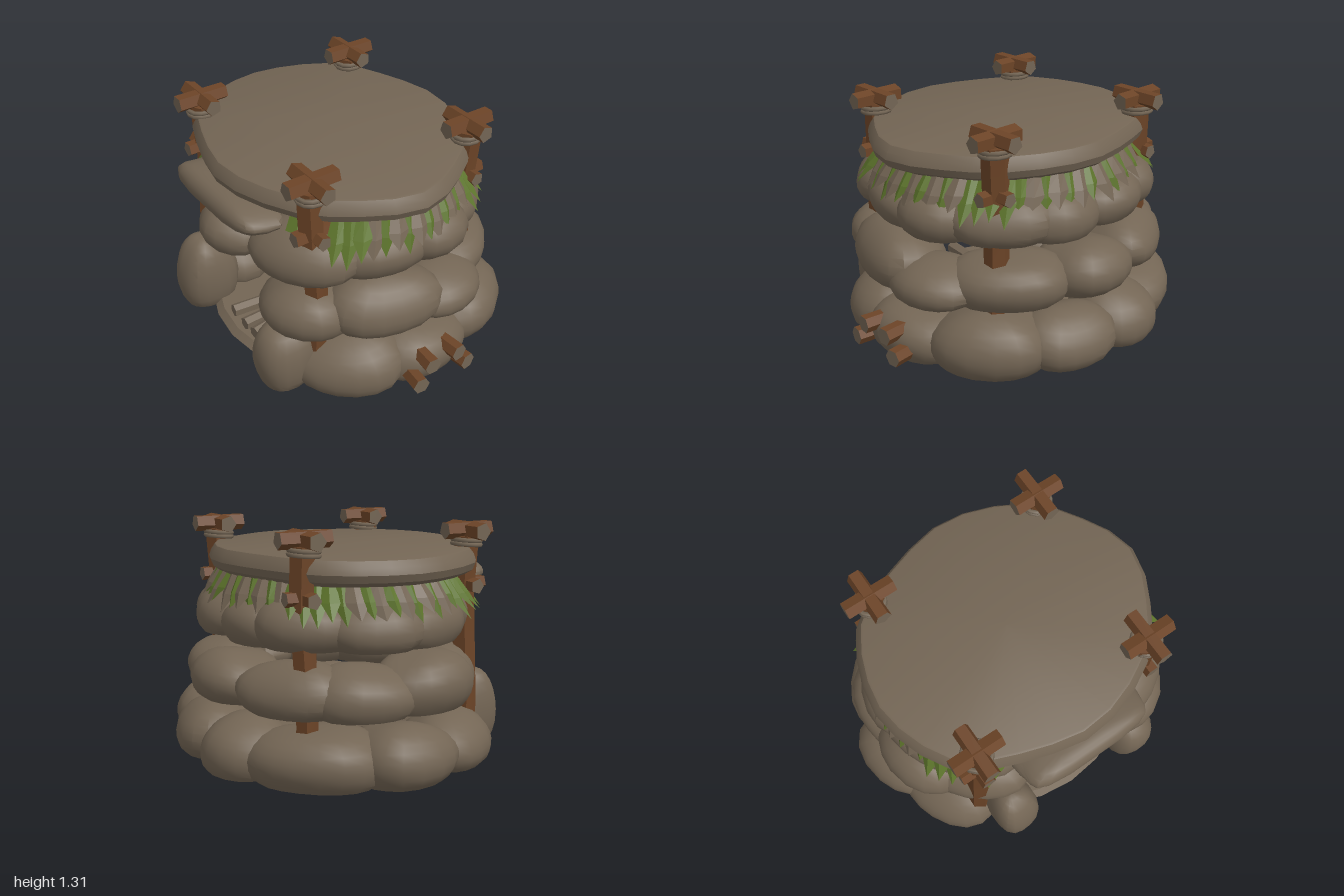
import * as THREE from 'three';
import { toCreasedNormals } from 'three/addons/utils/BufferGeometryUtils.js';

const stone = new THREE.MeshStandardMaterial({ color: 0x736554 });
stone.name = 'stone';
const wood = new THREE.MeshStandardMaterial({ color: 0x6c4427 });
wood.name = 'wood';
const leafGreen = new THREE.MeshStandardMaterial({ color: 0x5c732b, side: THREE.DoubleSide });
leafGreen.name = 'leafGreen';
const thatch = new THREE.MeshStandardMaterial({ color: 0x736554, side: THREE.DoubleSide });
thatch.name = 'thatch';

const rad = THREE.MathUtils.degToRad;

function add(parent, name, geometry, material, x = 0, y = 0, z = 0) {
  const mesh = new THREE.Mesh(geometry, material);
  mesh.name = name;
  mesh.position.set(x, y, z);
  parent.add(mesh);
  return mesh;
}

// Rounded rock with a flat base on y = 0; w and d are half sizes, h the full height
function boulder(w, h, d, seed, cut = 0.6, power = 0.92) {
  const g = new THREE.SphereGeometry(1, 18, 14);
  const p = g.attributes.position;
  const v = new THREE.Vector3();
  const boxy = (a) => Math.sign(a) * Math.pow(Math.abs(a), power);
  for (let i = 0; i < p.count; i++) {
    v.fromBufferAttribute(p, i);
    const bump = 1 + 0.045 * Math.sin(3 * v.x + seed * 2.1) + 0.04 * Math.sin(4 * v.z + 2 * v.y + seed);
    const y = Math.max(v.y, -cut);
    p.setXYZ(i, boxy(v.x) * w * bump, ((y + cut) / (1 + cut)) * h * (v.y > 0 ? bump : 1), boxy(v.z) * d * bump);
  }
  return toCreasedNormals(g, 0.6);
}

// Faceted log along its own y axis with pale cut ends
function log(parent, name, radius, length, sides, body = wood) {
  const source = new THREE.CylinderGeometry(radius, radius * 0.95, length, sides);
  const g = source.toNonIndexed();
  g.clearGroups();
  source.groups.forEach((s) => g.addGroup(s.start, s.count, s.materialIndex));
  return add(parent, name, toCreasedNormals(g, 0.3), [body, stone, stone]);
}

// Ring of boulders; each entry is [angle from front, half length, height, inward shift]
function stoneRing(name, y, rx, rz, zc, depth, list) {
  const ring = new THREE.Group();
  ring.name = name;
  list.forEach(([deg, half, height, inset = 0], i) => {
    const a = rad(deg);
    const m = add(ring, 'wallStone', boulder(half, height, depth, i * 1.7 + y * 9), stone,
      Math.sin(a) * (rx - inset), y, Math.cos(a) * (rz - inset) + zc);
    m.rotation.y = a;
  });
  return ring;
}

// Hanging blade with a folded centre line, pointing down and outward
function blade(width, drop, out, lean) {
  const w = width / 2;
  const g = new THREE.BufferGeometry();
  g.setAttribute('position', new THREE.Float32BufferAttribute([
    -w * 0.7, 0, 0, 0, 0, 0.02, w * 0.7, 0, 0,
    -w + lean * 0.4, -drop * 0.5, out * 0.45, lean * 0.4, -drop * 0.5, out * 0.45 + 0.025,
    w + lean * 0.4, -drop * 0.5, out * 0.45, lean, -drop, out,
  ], 3));
  g.setIndex([0, 3, 1, 1, 3, 4, 1, 4, 2, 2, 4, 5, 3, 6, 4, 4, 6, 5]);
  const flat = g.toNonIndexed();
  flat.computeVertexNormals();
  return flat;
}

// Corner post with crossed logs at the top, lashing and a smaller cross below
function cornerPost(x, z, i) {
  const post = new THREE.Group();
  post.name = 'cornerPost';
  post.position.set(x, 0, z);
  const g = new THREE.CylinderGeometry(0.073, 0.062, 1.23, 6, 4);
  const p = g.attributes.position;
  for (let k = 0; k < p.count; k++) {
    const bend = 0.015 * Math.sin(p.getY(k) * 5 + i * 2);
    p.setX(k, p.getX(k) + bend);
    p.setZ(k, p.getZ(k) - bend * 0.6);
  }
  add(post, 'postTrunk', toCreasedNormals(g, 0.3), wood, 0, 0.62, 0);
  for (const [name, y, r, len] of [['topCrossLog', 1.265, 0.05, 0.29], ['lowerCrossLog', 0.97, 0.043, 0.22]]) {
    const a = log(post, name, r, len, 5);
    a.rotation.z = Math.PI / 2;
    a.position.y = y;
    const b = log(post, name, r, len, 5);
    b.rotation.x = Math.PI / 2;
    b.position.y = y + 0.004;
  }
  for (const y of [1.19, 1.212]) {
    const rope = add(post, 'lashing', new THREE.TorusGeometry(0.077, 0.013, 6, 12), stone, 0, y, 0);
    rope.rotation.x = Math.PI / 2 + 0.08;
  }
  return post;
}

export function createModel() {
  const hut = new THREE.Group();
  hut.name = 'stoneHut';

  // Floor slab
  const floor = add(hut, 'floor', new THREE.CylinderGeometry(0.76, 0.8, 0.035, 24), stone, 0, 0.043, 0);
  floor.scale.z = 0.95;

  // Three courses of wall stones, open at the front
  hut.add(stoneRing('lowerWall', 0.01, 0.72, 0.63, 0, 0.25, [
    [54, 0.31, 0.3, -0.02], [91, 0.3, 0.29, 0.02], [130, 0.36, 0.32], [164, 0.27, 0.3],
    [196, 0.27, 0.29], [231, 0.36, 0.31], [274, 0.32, 0.3], [306, 0.29, 0.28, -0.02],
  ]));
  hut.add(stoneRing('middleWall', 0.365, 0.69, 0.59, 0.02, 0.23, [
    [37, 0.28, 0.26, -0.06], [72, 0.32, 0.31], [106, 0.27, 0.2, -0.02], [140, 0.31, 0.27], [180, 0.29, 0.26],
    [218, 0.31, 0.27], [252, 0.29, 0.26], [287, 0.32, 0.31], [319, 0.29, 0.29, 0.04],
  ]));
  hut.add(stoneRing('upperWall', 0.7, 0.61, 0.54, 0.03, 0.23, [
    [38, 0.31, 0.27, -0.07], [72, 0.28, 0.26], [104, 0.26, 0.25], [136, 0.29, 0.27], [164, 0.25, 0.26],
    [196, 0.25, 0.26], [224, 0.29, 0.27], [258, 0.28, 0.26], [290, 0.29, 0.27], [317, 0.28, 0.28, 0.04],
  ]));

  // Upright door stones and lintel
  add(hut, 'doorStone', boulder(0.145, 0.42, 0.18, 2, 0.7, 0.85), stone, 0.44, 0.005, 0.68);
  add(hut, 'doorStone', boulder(0.135, 0.46, 0.18, 5, 0.7, 0.85), stone, -0.4, 0.005, 0.68);
  add(hut, 'lintel', boulder(0.41, 0.14, 0.135, 4, 0.8, 0.55), stone, 0.01, 0.925, 0.72);

  // Roof slab with an uneven rim
  const profile = [[0, 1.05], [0.93, 1.045], [0.98, 1.07], [1, 1.11], [0.985, 1.145], [0.955, 1.178], [0.94, 1.182], [0, 1.186]]
    .map(([r, y]) => new THREE.Vector2(r, y));
  const roof = new THREE.LatheGeometry(profile, 28);
  const rp = roof.attributes.position;
  for (let i = 0; i < rp.count; i++) {
    const x = rp.getX(i);
    const z = rp.getZ(i);
    const a = Math.atan2(x, z);
    const k = 1 + 0.015 * Math.sin(5 * a) + 0.01 * Math.cos(8 * a);
    rp.setXYZ(i, x * 0.82 * k - 0.012, rp.getY(i) - 0.012 * x * x + 0.006 * z, z * 0.715 * k + 0.065);
  }
  add(hut, 'roofSlab', toCreasedNormals(roof, 0.5), stone);

  // Corner posts
  [[-0.53, 0.56], [0.53, 0.55], [0.53, -0.44], [-0.53, -0.44]].forEach(([x, z], i) => hut.add(cornerPost(x, z, i)));

  // Hanging fringe: leaves by the posts, dry blades with leaves behind them elsewhere
  const fringe = new THREE.Group();
  fringe.name = 'fringe';
  const hang = (deg, green, width, drop, out, lean, inset = 0) => {
    const a = rad(deg);
    const m = add(fringe, green ? 'leaf' : 'dryBlade', blade(width, drop, out, lean), green ? leafGreen : thatch,
      Math.sin(a) * (0.72 - inset), 1.045, Math.cos(a) * (0.64 - inset) + 0.05);
    m.rotation.y = a;
  };
  const count = 50;
  for (let i = 0; i < count; i++) {
    const deg = 54 + (252 * i) / (count - 1);
    const nearPost = [56, 133, 227, 304].some((c) => Math.abs(deg - c) < 12);
    const green = nearPost || i % 2 === 0;
    const lean = deg < 180 ? -0.035 : 0.035;
    const drop = 0.18 + 0.025 * Math.sin(i * 2.3);
    if (green) hang(deg, true, 0.1, drop + (nearPost ? 0.015 : 0), nearPost ? 0.15 : 0.1, lean);
    else hang(deg, false, 0.135, drop, 0.11, lean);
  }
  // Broad leaves on the doorway side of the front posts
  for (const s of [-1, 1]) {
    hang(s * 37, true, 0.14, 0.2, 0.17, s * 0.02, 0.03);
  }
  hut.add(fringe);

  // Cut logs poking out of the wall on the left
  for (const [y, z, turn] of [[0.19, 0.1, 0.08], [0.19, -0.065, -0.08], [0.09, 0.17, 0.12], [0.09, -0.13, -0.12]]) {
    const l = log(hut, 'wallLog', 0.05, 0.2, 6);
    l.position.set(0.895, y, z);
    l.rotation.set(0, -turn, -Math.PI / 2);
  }

  // Sticks laid on the floor toward the doorway
  for (const [x, y, turn] of [[-0.06, 0.105, -0.12], [0.02, 0.095, 0.02], [0.08, 0.095, 0.14]]) {
    const l = log(hut, 'floorStick', 0.038, 0.66, 6, stone);
    l.position.set(x, y, 0.36);
    l.rotation.set(Math.PI / 2, 0, -turn);
  }
  return hut;
}
